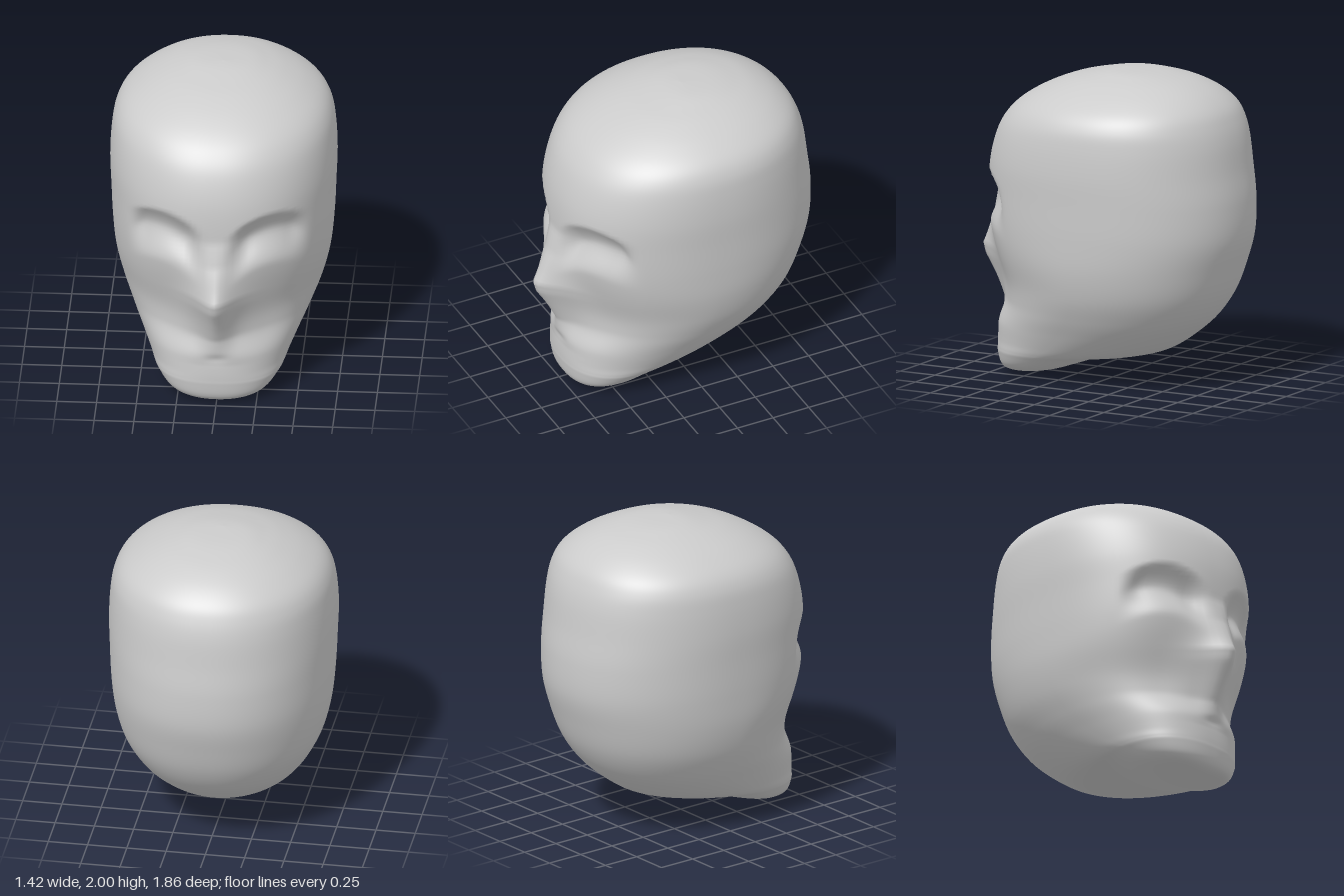
import * as THREE from 'three';

const SEGMENTS = 144;
const ROWS_PER_SPAN = 9;

// Cross-sections from chin to crown: height, half width, front z, back z, z of the widest point
const SECTIONS = [
  [0, 0, 0.58, 0.58, 0.58], [0.006, 0.1, 0.66, 0.48, 0.57], [0.03, 0.24, 0.71, 0.36, 0.53],
  [0.07, 0.325, 0.735, 0.24, 0.47], [0.14, 0.39, 0.748, 0.02, 0.38], [0.175, 0.415, 0.75, -0.25, 0.32],
  [0.23, 0.445, 0.75, -0.42, 0.22], [0.33, 0.5, 0.745, -0.57, 0.1], [0.45, 0.565, 0.735, -0.7, 0.02],
  [0.6, 0.63, 0.725, -0.8, -0.04], [0.78, 0.675, 0.745, -0.87, -0.06], [0.98, 0.695, 0.775, -0.925, -0.075],
  [1.2, 0.705, 0.785, -0.93, -0.075], [1.4, 0.712, 0.77, -0.905, -0.07], [1.58, 0.702, 0.72, -0.88, -0.08],
  [1.7, 0.678, 0.65, -0.845, -0.1], [1.79, 0.62, 0.555, -0.795, -0.12], [1.87, 0.51, 0.42, -0.705, -0.14],
  [1.93, 0.385, 0.27, -0.59, -0.16], [1.965, 0.28, 0.13, -0.47, -0.17], [1.99, 0.17, 0, -0.32, -0.16],
  [2, 0, -0.1, -0.1, -0.1],
];

// Height of the nose ridge above the face: (y, height)
const NOSE = [[0.28, 0], [0.36, 0.018], [0.46, 0.035], [0.58, 0.105], [0.71, 0.175],
  [0.78, 0.185], [0.86, 0.135], [1.0, 0.055], [1.16, 0]];

const { smoothstep: smooth, clamp } = THREE.MathUtils;
const bump = (d, r) => Math.exp(-((d / r) ** 2));

function noseHeight(y) {
  for (let i = 1; i < NOSE.length; i++) {
    const [y0, h0] = NOSE[i - 1];
    const [y1, h1] = NOSE[i];
    if (y >= y0 && y <= y1) return h0 + ((h1 - h0) * (y - y0)) / (y1 - y0);
  }
  return 0;
}

// Forward push of the face surface at a point
function faceRelief(x, y) {
  const ax = Math.abs(x);

  // Eye socket: crisp arched brow, long soft lower lid
  const u = (ax - 0.32) / 0.22;
  const brow = 1.33 - 0.085 * u * u + 0.025 * u;
  const v = (brow - y) / 0.36;
  const hollow = Math.sin(clamp(v / 0.45, 0, 1) * Math.PI / 2) * (1 - smooth(v, 0.35, 1));
  const socket = 0.09 * hollow * (1 - smooth(Math.abs(u), 0.55, 1.2));

  // Cheeks slope back to a crease above the muzzle, with a small mouth dent
  const slope = y > 0.49 ? clamp((1 - y) / 0.51, 0, 1) : smooth(y, 0.32, 0.49);
  const cheek = 0.035 * slope * (1 - smooth(ax, 0.28, 0.55)) * smooth(ax, 0, 0.14);
  const mouth = 0.01 * bump(x, 0.07) * bump(y - 0.325, 0.03);

  const nose = noseHeight(y) * Math.exp(-((ax / 0.155) ** 1.7));
  return nose - socket - cheek - mouth;
}

function headGeometry() {
  const spline = (pick) => new THREE.CatmullRomCurve3(SECTIONS.map((s) => new THREE.Vector3(...pick(s))), false, 'catmullrom', 0.5);
  const widths = spline(([y, w, , , m]) => [w, y, m]);
  const depths = spline(([y, , f, b]) => [f, y, b]);
  const rows = (SECTIONS.length - 1) * ROWS_PER_SPAN;
  const positions = [];
  const index = [];

  for (let i = 0; i <= rows; i++) {
    const { x: width, y, z: middle } = widths.getPoint(i / rows);
    const { x: front, z: back } = depths.getPoint(i / rows);
    // Squarer muzzle, leaner cheeks, rounder underside
    const frontPower = 2.2 + 0.15 * (1 - smooth(y, 0.28, 0.5)) - 0.3 * bump(y - 0.6, 0.24);
    const backPower = 2.15 - 0.25 * (1 - smooth(y, 0.1, 0.4));

    for (let j = 0; j < SEGMENTS; j++) {
      const a = (j / SEGMENTS) * Math.PI * 2;
      const c = Math.cos(a);
      const s = Math.sin(a);
      const power = 2 / (s > 0 ? frontPower : backPower);
      const depth = s > 0 ? front - middle : middle - back;
      const x = width * Math.sign(c) * Math.abs(c) ** power;
      let z = middle + depth * Math.sign(s) * Math.abs(s) ** power;
      z += faceRelief(x, y) * smooth(s, 0.15, 0.5);
      positions.push(x, y, z);

      if (i < rows) {
        const next = (j + 1) % SEGMENTS;
        const p = i * SEGMENTS + j;
        const q = i * SEGMENTS + next;
        index.push(p, p + SEGMENTS, q, q, p + SEGMENTS, q + SEGMENTS);
      }
    }
  }

  const geometry = new THREE.BufferGeometry();
  geometry.setAttribute('position', new THREE.Float32BufferAttribute(positions, 3));
  geometry.setIndex(index);
  geometry.computeVertexNormals();
  return geometry;
}

export function createModel() {
  const model = new THREE.Group();
  const head = new THREE.Mesh(headGeometry(), new THREE.MeshStandardMaterial({ color: 0xcccccc }));
  head.name = 'head';
  model.add(head);
  return model;
}
